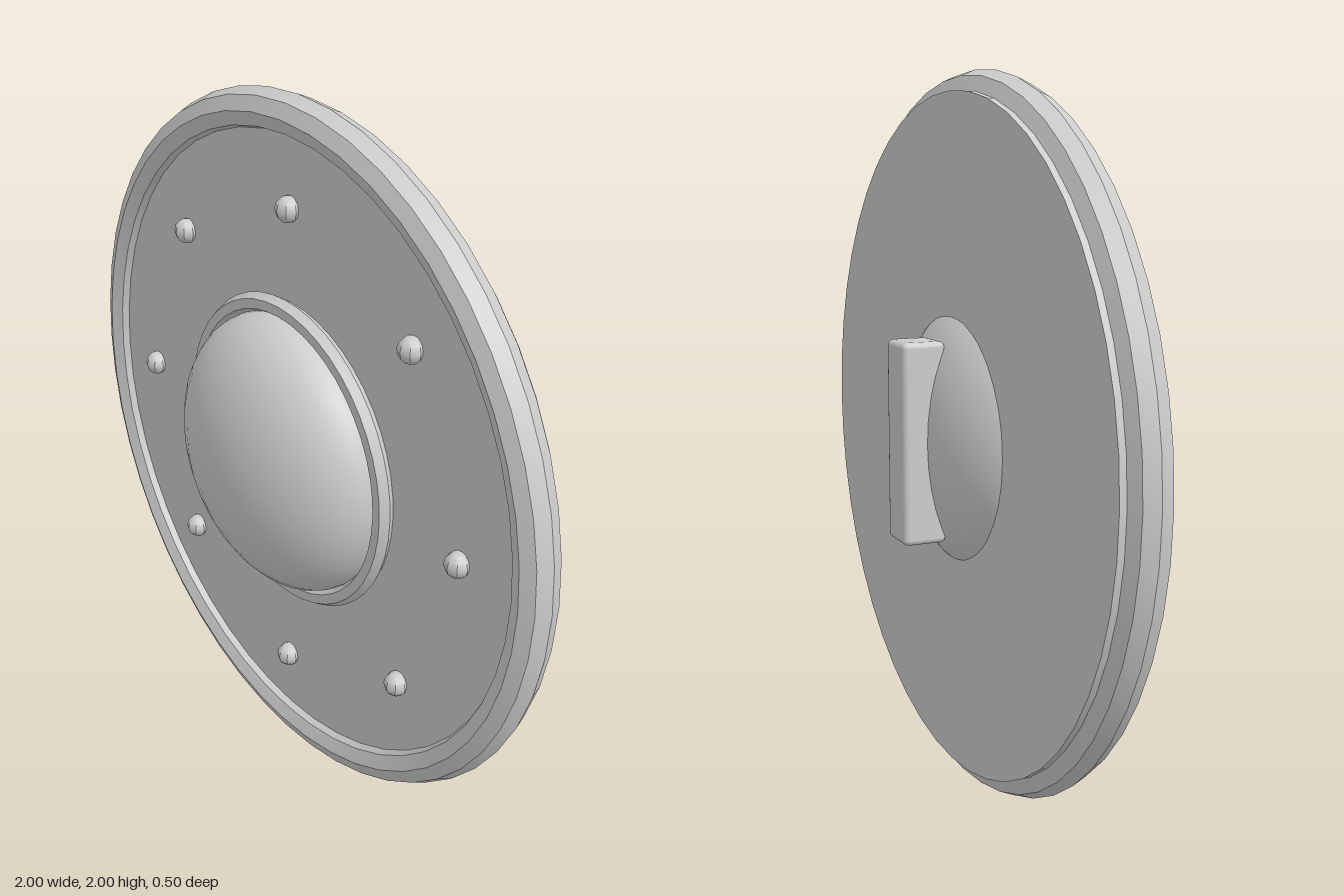
import * as THREE from 'three';
import { toCreasedNormals } from 'three/addons/utils/BufferGeometryUtils.js';
import { RoundedBoxGeometry } from 'three/addons/geometries/RoundedBoxGeometry.js';

export function createModel() {
  const shield = new THREE.Group();
  shield.name = 'roundShield';
  const grey = new THREE.MeshStandardMaterial({ color: 0xcccccc });
  grey.name = 'plain grey';

  const add = (name, geometry, x, y, z) => {
    const mesh = new THREE.Mesh(geometry, grey);
    mesh.name = name;
    mesh.position.set(x, y, z);
    shield.add(mesh);
    return mesh;
  };
  // Band with a few-sided section: crisp along its edges, smooth around
  const band = (radius, tube, sides) =>
    toCreasedNormals(new THREE.TorusGeometry(radius, tube, sides, 48), 0.5);

  // Flat board, z from -0.085 to 0.01
  add('board', new THREE.CylinderGeometry(0.944, 0.944, 0.095, 48).rotateX(Math.PI / 2), 0, 1, -0.0375);

  // Outer rim and the collar around the boss
  add('rim', band(0.944, 0.056, 8), 0, 1, -0.01);
  add('bossCollar', band(0.43, 0.028, 6), 0, 1, 0.029);

  // Flattened boss that bulges through both faces
  add('boss', new THREE.SphereGeometry(1, 32, 20), 0, 1, 0.032).scale.set(0.405, 0.405, 0.217);

  // Ring of rivets
  const rivet = toCreasedNormals(new THREE.SphereGeometry(0.036, 8, 6), 0.6);
  for (let i = 0; i < 8; i++) {
    const a = (i * Math.PI) / 4;
    add('rivet', rivet, 0.708 * Math.cos(a), 1 + 0.708 * Math.sin(a), 0.02);
  }

  // Hand grip on the back
  add('grip', new RoundedBoxGeometry(0.132, 0.56, 0.123, 2, 0.016), 0, 1, -0.187);

  return shield;
}
